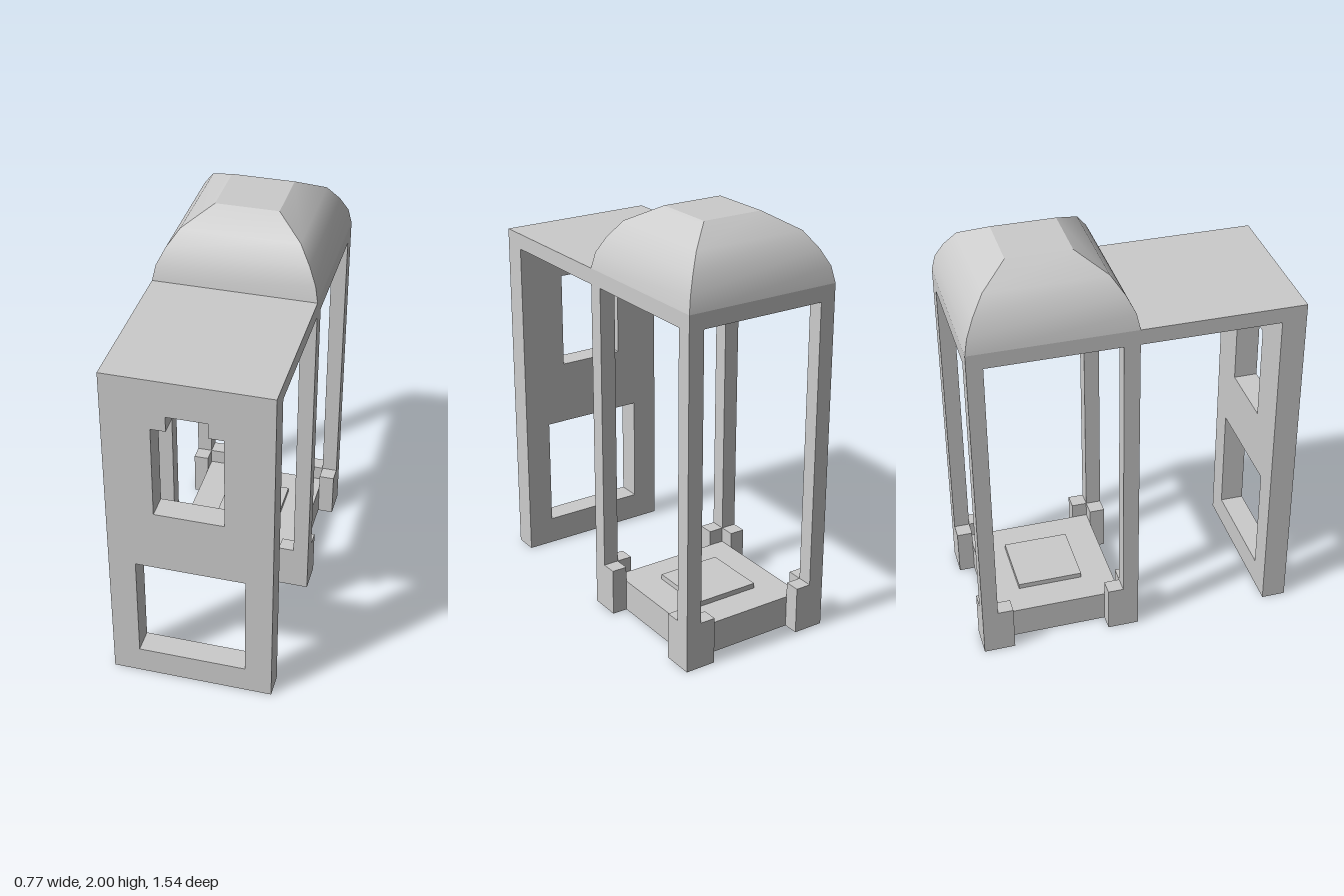
import * as THREE from 'three';

const HALF = 0.385;      // half width, and half depth of the domed bay
const BAY_Z = -0.385;    // centre of the domed bay
const POST = 0.075;      // post and foot thickness
const CEILING = 1.62;
const EAVES = 1.695;

export function createModel() {
  const model = new THREE.Group();
  const material = new THREE.MeshStandardMaterial({ color: 0xcccccc });

  const add = (name, geometry, parent = model) => {
    const mesh = new THREE.Mesh(geometry, material);
    mesh.name = name;
    parent.add(mesh);
    return mesh;
  };
  // Box given by its lowest and highest corners
  const box = (name, x0, x1, y0, y1, z0, z1, parent) =>
    add(name, new THREE.BoxGeometry(x1 - x0, y1 - y0, z1 - z0), parent)
      .position.set((x0 + x1) / 2, (y0 + y1) / 2, (z0 + z1) / 2);
  const path = (points, Type) => new Type(points.map(([x, y]) => new THREE.Vector2(x, y)));

  // Front wall with a doorway opening and a stepped window
  const wall = path([[-HALF, 0], [HALF, 0], [HALF, EAVES], [-HALF, EAVES]], THREE.Shape);
  wall.holes.push(
    path([[-0.257, 0.135], [-0.257, 0.67], [0.257, 0.67], [0.257, 0.135]], THREE.Path),
    path([[-0.162, 0.98], [-0.162, 1.445], [-0.093, 1.445], [-0.093, 1.52],
      [0.093, 1.52], [0.093, 1.445], [0.162, 1.445], [0.162, 0.98]], THREE.Path));
  add('frontWall', new THREE.ExtrudeGeometry(wall, { depth: 0.115, bevelEnabled: false }))
    .position.z = 0.655;

  // Flat roof running from the wall over the bay
  box('roofSlab', -HALF, HALF, CEILING, EAVES, -0.77, 0.655);

  // Domed roof: four mitred curved sides and a flat top
  const profile = [[HALF, EAVES], [0.37, 1.77], [0.333, 1.845], [0.278, 1.923], [0.15, 2]];
  const dome = new THREE.Group();
  dome.name = 'domedRoof';
  dome.position.z = BAY_Z;
  model.add(dome);
  const positions = [], index = [];
  profile.forEach(([r, y], i) => {
    positions.push(-r, y, r, r, y, r);
    if (i > 0) {
      const a = 2 * i - 2;
      index.push(a, a + 1, a + 3, a, a + 3, a + 2);
    }
  });
  const side = new THREE.BufferGeometry();
  side.setAttribute('position', new THREE.Float32BufferAttribute(positions, 3));
  side.setIndex(index);
  side.computeVertexNormals();
  for (let k = 0; k < 4; k++) add('domeSide', side, dome).rotation.y = k * Math.PI / 2;
  const cap = add('domeTop', new THREE.PlaneGeometry(0.3, 0.3), dome);
  cap.rotation.x = -Math.PI / 2;
  cap.position.y = 2;

  // Corner posts standing on L-shaped feet
  const foot = path([[HALF, HALF], [0.235, HALF], [0.235, HALF - POST],
    [HALF - POST, HALF - POST], [HALF - POST, 0.235], [HALF, 0.235]], THREE.Shape);
  const footGeometry = new THREE.ExtrudeGeometry(foot, { depth: 0.23, bevelEnabled: false });
  footGeometry.rotateX(-Math.PI / 2);
  for (let k = 0; k < 4; k++) {
    const corner = new THREE.Group();
    corner.name = 'cornerPost';
    corner.position.z = BAY_Z;
    corner.rotation.y = k * Math.PI / 2;
    model.add(corner);
    add('foot', footGeometry, corner);
    box('post', HALF - POST, HALF, 0.23, CEILING, -HALF, POST - HALF, corner);
  }

  // Floor inset between the feet, with a low square pad
  box('floor', POST - HALF, HALF - POST, 0, 0.155, -0.695, -0.075);
  box('floorPad', -0.158, 0.158, 0.155, 0.18, BAY_Z - 0.158, BAY_Z + 0.158);

  return model;
}
